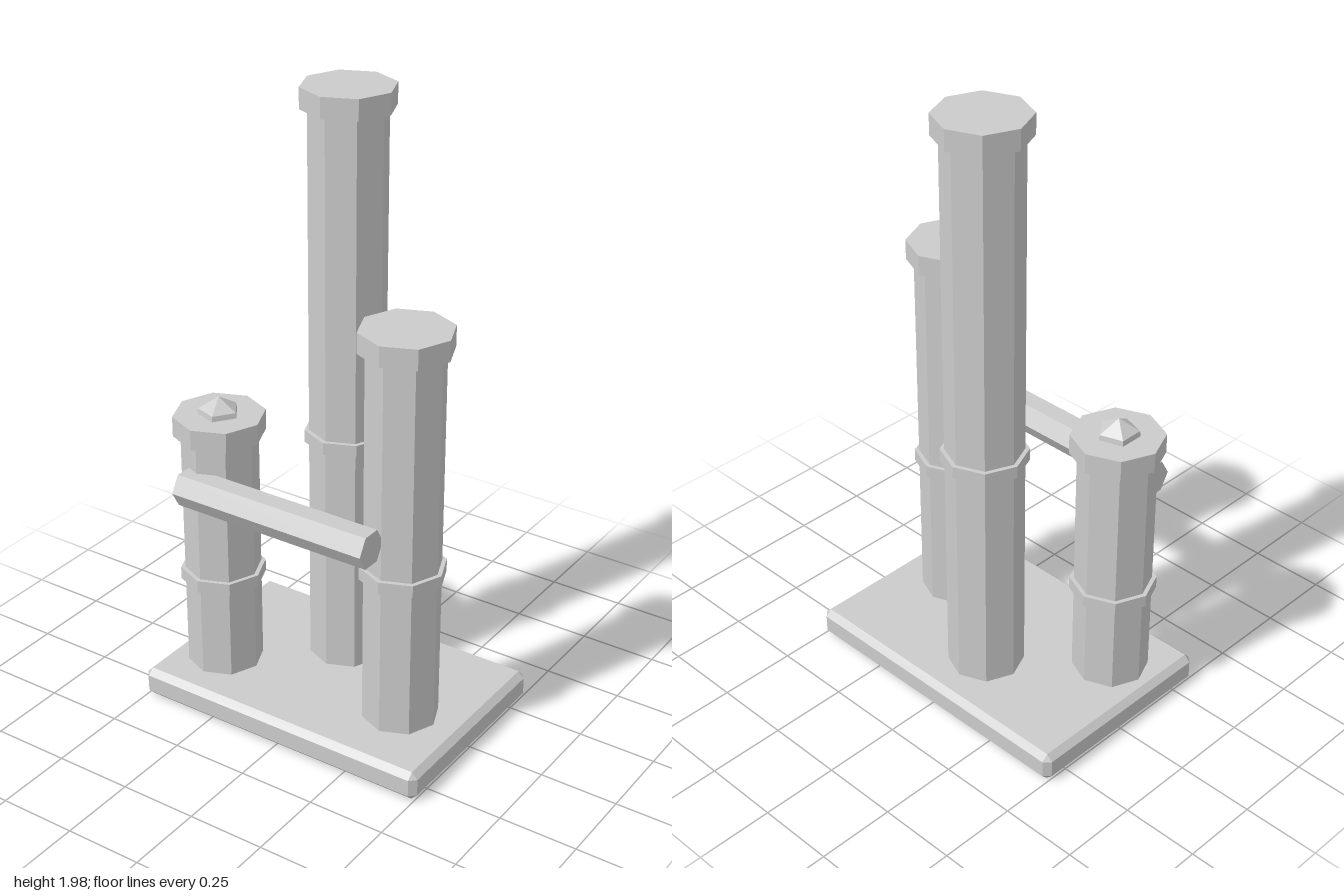
import * as THREE from 'three';
import { ConvexGeometry } from 'three/addons/geometries/ConvexGeometry.js';

const material = new THREE.MeshStandardMaterial({ color: 0xcccccc, flatShading: true });

function add(parent, name, geometry, x, y, z) {
  const mesh = new THREE.Mesh(geometry, material);
  mesh.name = name;
  mesh.position.set(x, y, z);
  parent.add(mesh);
  return mesh;
}

// Upright prism or frustum between two heights
function prism(parent, name, rTop, rBottom, y0, y1, sides) {
  return add(parent, name, new THREE.CylinderGeometry(rTop, rBottom, y1 - y0, sides), 0, (y0 + y1) / 2, 0);
}

// Box with every edge and corner cut at 45 degrees
function chamferedBox(w, h, d, c) {
  const points = [];
  for (const sx of [-1, 1]) for (const sy of [-1, 1]) for (const sz of [-1, 1]) {
    for (let axis = 0; axis < 3; axis++) {
      const cut = [c, c, c];
      cut[axis] = 0;
      points.push(new THREE.Vector3(sx * (w / 2 - cut[0]), sy * (h / 2 - cut[1]), sz * (d / 2 - cut[2])));
    }
  }
  return new ConvexGeometry(points);
}

// Octagonal column with a collar ring and a wider cap
function column(parent, name, x, z, top, ringY) {
  const group = new THREE.Group();
  group.name = name;
  group.position.set(x, 0, z);
  prism(group, 'shaft', 0.12, 0.12, 0.1, top - 0.03, 8);
  prism(group, 'collarRing', 0.134, 0.134, ringY - 0.02, ringY + 0.02, 8);
  prism(group, 'cap', 0.143, 0.143, top - 0.065, top, 8);
  parent.add(group);
  return group;
}

export function createModel() {
  const model = new THREE.Group();
  model.name = 'columnCluster';

  add(model, 'base', chamferedBox(1.014, 0.096, 0.676, 0.02), 0, 0.072, 0);

  column(model, 'tallColumn', -0.043, -0.13, 2.0, 0.9);
  column(model, 'middleColumn', 0.295, 0.08, 1.41, 0.632);
  const short = column(model, 'shortColumn', -0.34, 0.125, 0.988, 0.441);

  // Five-sided gem on the short column
  const gem = new THREE.Group();
  gem.name = 'gem';
  gem.rotation.y = Math.PI / 2;
  prism(gem, 'gemBand', 0.063, 0.067, 0.98, 1.005, 5);
  prism(gem, 'gemPoint', 0, 0.063, 1.005, 1.044, 5);
  short.add(gem);

  // Hexagonal bar across the front
  const bar = new THREE.CylinderGeometry(0.06, 0.06, 0.677, 6).rotateZ(Math.PI / 2);
  add(model, 'crossBar', bar, -0.0435, 0.781, 0.252);

  return model;
}
